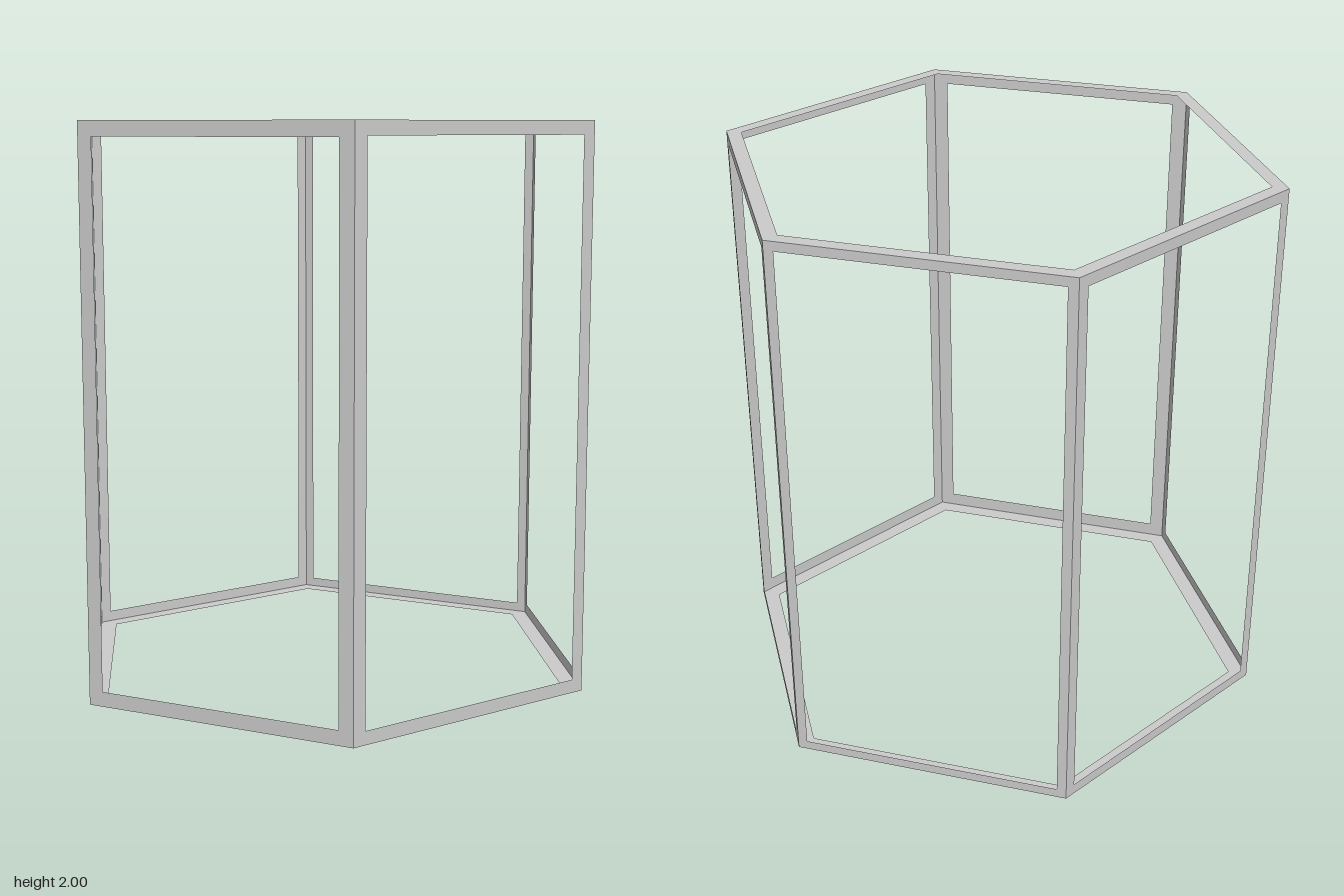
import * as THREE from 'three';

const HEIGHT = 2;
const APOTHEM = Math.sqrt(3) / 2;

const material = new THREE.MeshStandardMaterial({
  color: 0xcccccc, flatShading: true, side: THREE.DoubleSide,
});

// Corners of a hexagon with points at top and bottom
const hexagon = (radius) => Array.from({ length: 6 }, (_, i) => {
  const a = Math.PI / 2 + i * Math.PI / 3;
  return new THREE.Vector2(radius * Math.cos(a), radius * Math.sin(a));
});

// Corners of a centred rectangle
const rectangle = (w, h) => [[-1, -1], [1, -1], [1, 1], [-1, 1]]
  .map(([x, y]) => new THREE.Vector2(x * w / 2, y * h / 2));

// Flat border between an outline and an opening
function border(name, outline, opening) {
  const shape = new THREE.Shape(outline);
  shape.holes.push(new THREE.Path(opening));
  const mesh = new THREE.Mesh(new THREE.ShapeGeometry(shape), material);
  mesh.name = name;
  return mesh;
}

export function createModel() {
  const group = new THREE.Group();
  group.name = 'hexagonalPrismFrame';

  // Six upright window frames: name, angle from +z towards +x, band width
  const sides = [
    ['frontLeftFrame', 30, 0.053],
    ['leftFrame', 90, 0.048],
    ['backLeftFrame', 150, 0.04],
    ['backRightFrame', 210, 0.034],
    ['rightFrame', 270, 0.04],
    ['frontRightFrame', 330, 0.041],
  ];
  for (const [name, degrees, band] of sides) {
    const frame = border(name, rectangle(1, HEIGHT),
      rectangle(1 - 2 * band, HEIGHT - 2 * band));
    const a = THREE.MathUtils.degToRad(degrees);
    frame.rotation.y = a;
    frame.position.set(APOTHEM * Math.sin(a), HEIGHT / 2, APOTHEM * Math.cos(a));
    group.add(frame);
  }

  // Hexagonal rims closing the top and bottom edges
  for (const [name, y, band, tilt] of [
    ['topRim', HEIGHT, 0.05, -Math.PI / 2],
    ['bottomRim', 0, 0.06, Math.PI / 2],
  ]) {
    const rim = border(name, hexagon(1), hexagon(1 - band / APOTHEM));
    rim.rotation.x = tilt;
    rim.position.y = y;
    group.add(rim);
  }
  return group;
}
